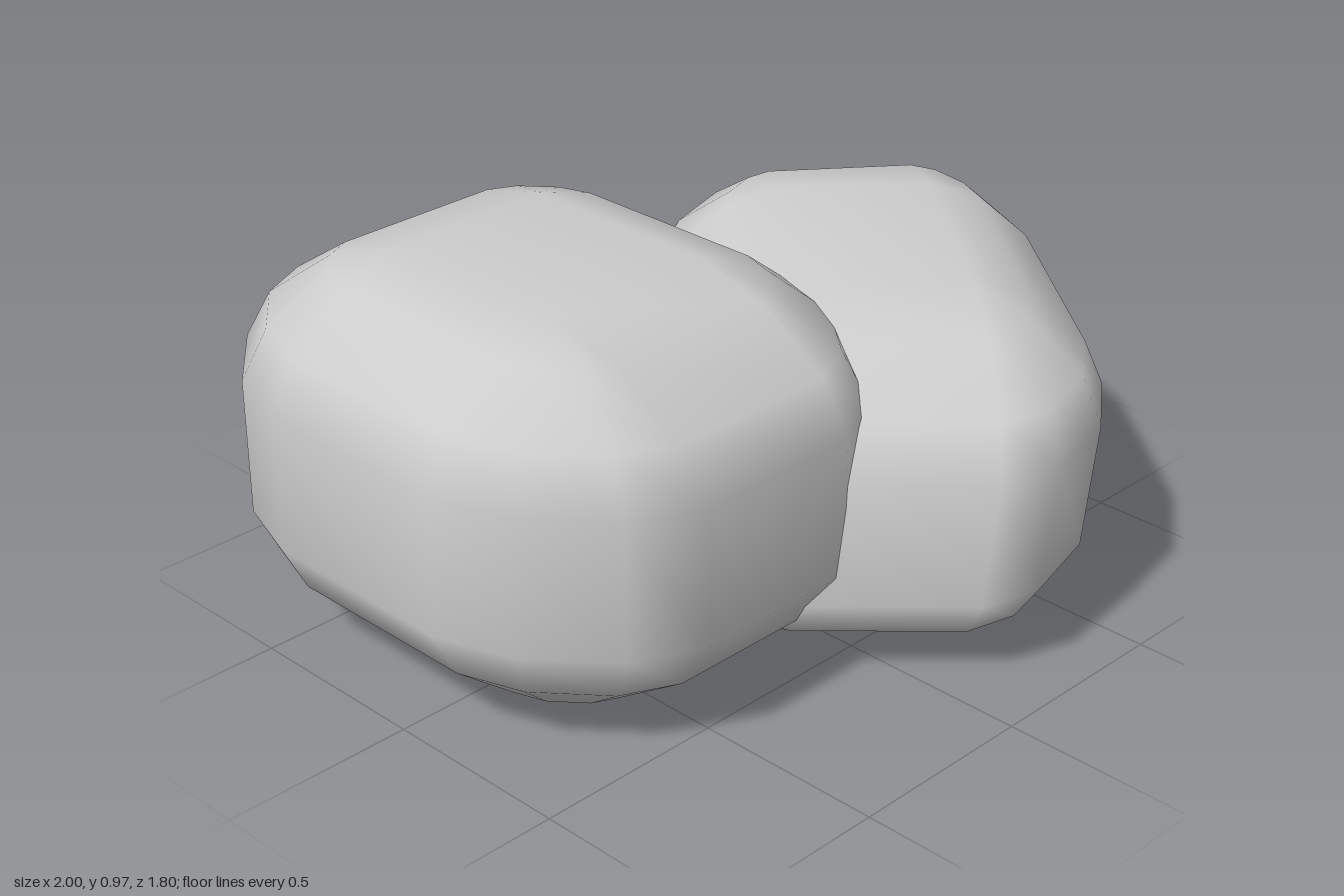
import * as THREE from 'three';
import { mergeVertices } from 'three/addons/utils/BufferGeometryUtils.js';

// Quarter-round profile in three segments, and the flat share of each side
const ROUND = [[1, 0], [0.83, 0.42], [0.42, 0.83], [0, 1]];
const FLAT = 0.365;
const R = 1 - FLAT;

// Unit rounded block built from stacked 16-point rings, then placed by a rule
function roundedBlock(place) {
  const pos = [], index = [], n = 16;
  const rows = [
    ...[...ROUND].reverse().map(([r, h]) => [r, -FLAT - R * h]),
    ...ROUND.map(([r, h]) => [r, FLAT + R * h]),
  ];
  const corners = [[1, 1], [-1, 1], [-1, -1], [1, -1]];
  for (const [r, y] of rows) {
    corners.forEach(([sx, sz], q) => {
      const arc = q % 2 ? [...ROUND].reverse() : ROUND;
      for (const [u, v] of arc) {
        pos.push(...place(sx * (FLAT + R * r * u), y, sz * (FLAT + R * r * v)));
      }
    });
  }
  // Sides
  for (let j = 0; j < rows.length - 1; j++) {
    for (let i = 0; i < n; i++) {
      const a = j * n + i, b = j * n + (i + 1) % n;
      if (j < rows.length - 2) index.push(a, a + n, b + n);
      else index.push(a, a + n, b + n);
      index.push(a, b + n, b);
    }
  }
  // Flat bottom and top
  const t = (rows.length - 1) * n;
  index.push(0, 4, 8, 0, 8, 12, t, t + 8, t + 4, t, t + 12, t + 8);
  let geo = new THREE.BufferGeometry();
  geo.setAttribute('position', new THREE.Float32BufferAttribute(pos, 3));
  geo.setIndex(index);
  geo = mergeVertices(geo, 1e-4);
  geo.computeVertexNormals();
  return geo;
}

export function createModel() {
  const group = new THREE.Group();
  group.name = 'rocks';
  const material = new THREE.MeshStandardMaterial({ color: 0xcccccc, roughness: 0.9 });
  const add = (name, place) => {
    const mesh = new THREE.Mesh(roundedBlock(place), material);
    mesh.name = name;
    group.add(mesh);
  };

  // Large upright rock
  add('largeRock', (a, b, c) => [-0.375 + 0.625 * a, 0.485 + 0.485 * b, -0.15 + 0.75 * c]);

  // Smaller rock, turned, tilted and slightly skewed
  add('smallRock', (a, b, c) => [
    0.35 + 0.4 * a + 0.07 * b - 0.418 * c,
    0.455 + 0.41 * b - 0.07 * c,
    0.165 + 0.36 * a + 0.535 * c - 0.06 * a * -c,
  ]);
  return group;
}
